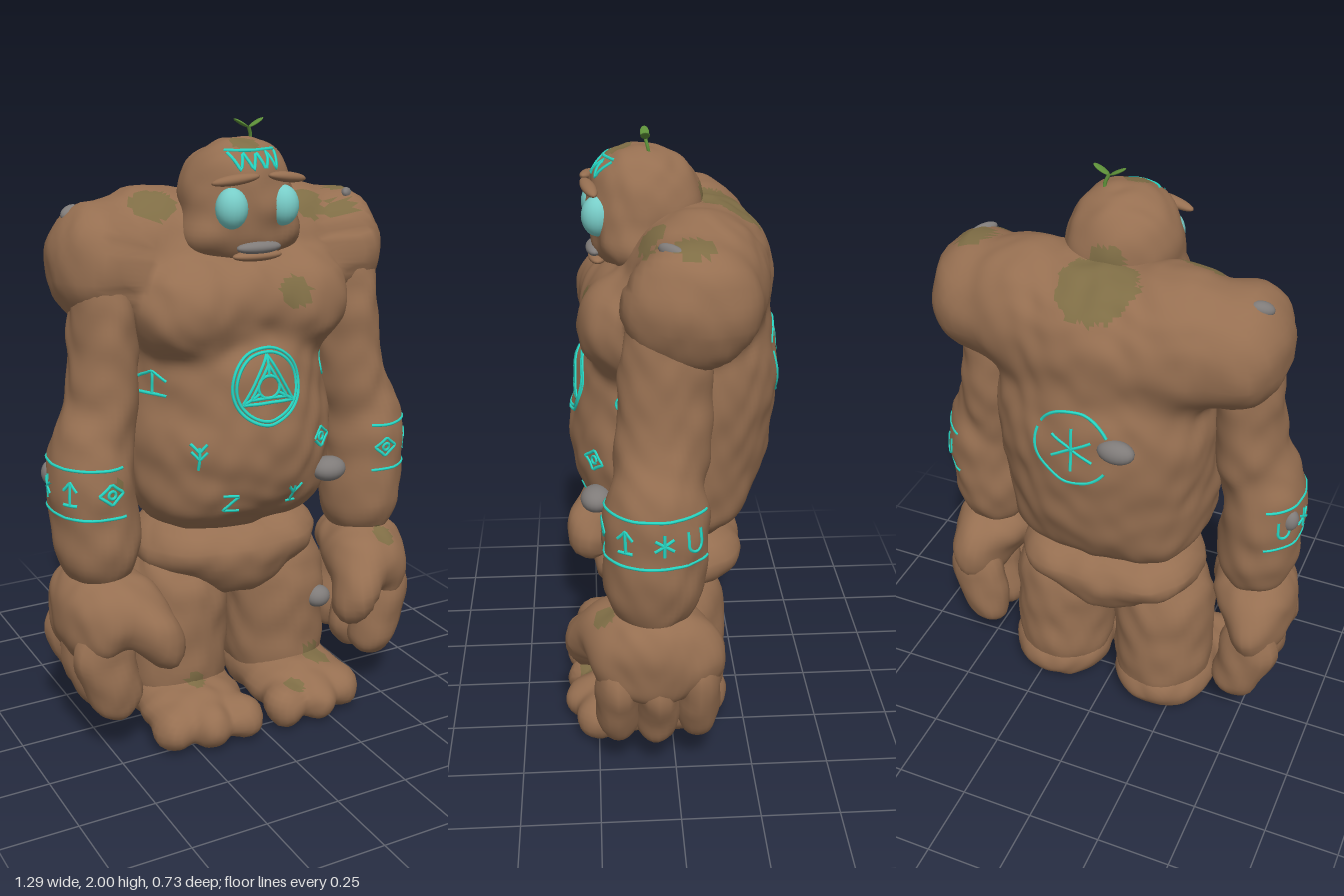
import * as THREE from 'three';
import { mergeVertices } from 'three/addons/utils/BufferGeometryUtils.js';

const paint = (name, color) => Object.assign(new THREE.MeshStandardMaterial({ color }), { name });
const clay = paint('clay', 0x966f51);
const moss = paint('moss', 0x7f6d45);
const glow = paint('rune teal', 0x28dcc8);
const eyeGlow = paint('eye aqua', 0x78cdc8);
const stone = paint('grey stone', 0x7f7b79);
const leafGreen = paint('leaf green', 0x5c8f38);

// Moss patches: x, y, z, radius
const MOSS = [
  [-0.02, 1.76, -0.2, 0.125], [-0.27, 1.78, 0.05, 0.08], [0.28, 1.76, 0.1, 0.08], [0.38, 1.73, 0.1, 0.055],
  [0.45, 1.76, -0.05, 0.065], [0.11, 1.49, 0.28, 0.055], [0.5, 0.59, 0.22, 0.04], [0.26, 0.17, 0.18, 0.05],
  [0.12, 0.13, 0.28, 0.035], [-0.2, 0.18, 0.17, 0.035], [-0.48, 0.93, 0.23, 0.03], [-0.01, 1.94, 0.15, 0.045],
];
const V = (x, y, z) => new THREE.Vector3(x, y, z);
const bumps = ({ x, y, z }) => 0.004 * Math.sin(31 * x + 2 * Math.sin(17 * z)) * Math.sin(28 * y + 2 * Math.sin(19 * x)) +
  0.003 * Math.sin(43 * y + 2 * Math.sin(23 * z)) * Math.sin(39 * z + 2 * Math.sin(21 * x));

// Lumps are [x, y, z, rx, ry, rz, tilt about z]
const flip = (lumps) => lumps.map(([x, y, z, a, b, c, t = 0]) => [-x, y, z, a, b, c, -t]);
const both = (lumps) => [...lumps, ...flip(lumps)];

// Distance to the smoothly blended lumps
function distance(p, lumps, blend) {
  let d = 9;
  for (const [x, y, z, a, b, c, t = 0] of lumps) {
    const cs = Math.cos(t), sn = Math.sin(t), px = p.x - x, py = p.y - y;
    const u = (px * cs + py * sn) / a, v = (py * cs - px * sn) / b, w = (p.z - z) / c;
    const k = Math.hypot(u, v, w);
    const e = k * (k - 1) / (Math.hypot(u / a, v / b, w / c) + 1e-6);
    const h = Math.max(blend - Math.abs(d - e), 0) / blend;
    d = Math.min(d, e) - h * h * blend / 4;
  }
  return d;
}

// Shrink a capsule around the line a-b onto the blended lumps
function mould(name, lumps, a, b, [cap, around, along], blend = 0.04) {
  const dir = b.clone().sub(a), len = dir.length();
  const turn = new THREE.Quaternion().setFromUnitVectors(V(0, 1, 0), dir.normalize());
  const mid = a.clone().add(b).multiplyScalar(0.5);
  let geo = new THREE.CapsuleGeometry(1, len, cap, around, along);
  geo.deleteAttribute('uv');
  geo.deleteAttribute('normal');
  geo = mergeVertices(geo);
  const pos = geo.attributes.position, p = V(), ray = V(), base = V();
  for (let i = 0; i < pos.count; i++) {
    ray.fromBufferAttribute(pos, i);
    base.set(0, THREE.MathUtils.clamp(ray.y, -len / 2, len / 2), 0);
    ray.sub(base).normalize().applyQuaternion(turn);
    base.applyQuaternion(turn).add(mid);
    let t = 1;
    for (let n = 0; n < 70 && t > 0.005; n++) {
      const d = distance(p.copy(base).addScaledVector(ray, t), lumps, blend);
      if (d < 0.0004) break;
      t -= 0.65 * d;
    }
    p.copy(base).addScaledVector(ray, Math.max(t, 0.005));
    p.addScaledVector(ray, bumps(p));
    pos.setXYZ(i, p.x, Math.max(p.y, 0), p.z);
  }
  geo.computeVertexNormals();
  // Sort faces into clay and moss groups
  const faces = [[], []], idx = geo.index;
  for (let i = 0; i < idx.count; i += 3) {
    const f = [idx.getX(i), idx.getX(i + 1), idx.getX(i + 2)];
    p.set(0, 0, 0);
    f.forEach((v) => p.add(base.fromBufferAttribute(pos, v)));
    p.divideScalar(3);
    const ragged = 1 + 25 * bumps(p.clone().multiplyScalar(2));
    const mossy = MOSS.some(([x, y, z, r]) => Math.hypot(p.x - x, p.y - y, p.z - z) < r * ragged);
    faces[mossy ? 1 : 0].push(...f);
  }
  geo.setIndex([...faces[0], ...faces[1]]);
  geo.addGroup(0, faces[0].length, 0);
  geo.addGroup(faces[0].length, faces[1].length, 1);
  const mesh = new THREE.Mesh(geo, [clay, moss]);
  mesh.name = name;
  return mesh;
}

function ball(name, mat, [x, y, z], [a, b, c], [rx, ry, rz] = [0, 0, 0]) {
  const mesh = new THREE.Mesh(new THREE.SphereGeometry(1, 20, 14), mat);
  mesh.name = name;
  mesh.position.set(x, y, z);
  mesh.scale.set(a, b, c);
  mesh.rotation.set(rx, ry, rz);
  return mesh;
}

// Flat strokes used for the carved marks
const arc = (r, from = 0, to = Math.PI * 2, n = 28, cx = 0, cy = 0) => Array.from({ length: n + 1 }, (_, i) => {
  const t = from + (to - from) * i / n;
  return [cx + r * Math.cos(t), cy + r * Math.sin(t)];
});
const spokes = (r) => [0, 1, 2].map((i) => {
  const t = Math.PI / 2 + i * Math.PI / 3, x = r * Math.cos(t), y = r * Math.sin(t);
  return [[x, y], [-x, -y]];
});
const corner = (r, i) => [r * Math.cos(Math.PI / 2 + i * 2.0944), r * Math.sin(Math.PI / 2 + i * 2.0944)];
const triangle = (r) => [0, 1, 2, 3].map((i) => corner(r, i));
const MARK = {
  diamond: [[[-0.04, 0], [0, 0.032], [0.04, 0], [0, -0.032], [-0.04, 0]], arc(0.012, 0, 6.283, 10)],
  arrow: [[[0, -0.035], [0, 0.037]], [[-0.026, 0.01], [0, 0.037], [0.026, 0.01]], [[-0.026, -0.035], [0.026, -0.035]]],
  star: spokes(0.038),
  cup: [[[-0.025, 0.035], ...arc(0.025, Math.PI, 2 * Math.PI, 10, 0, -0.01), [0.025, 0.035]]],
  crescent: [arc(0.033, 0.9, 5.4, 16), [[-0.005, 0], [0.015, 0]]],
  sprig: [[[0, -0.045], [0, 0.03]], [[-0.022, 0.04], [0, 0.015], [0.022, 0.04]], [[-0.022, 0.015], [0, -0.01], [0.022, 0.015]]],
  zigzag: [[[-0.03, 0.03], [0.025, 0.025], [-0.02, -0.025], [0.032, -0.03]]],
  fork: [[[0, -0.035], [0, 0.03]], [[-0.028, 0.03], [0, 0], [0.028, 0.03]], [[-0.018, -0.035], [0.018, -0.035]]],
  seal: [arc(0.118, 0, 6.283, 48), arc(0.106, 0, 6.283, 44), triangle(0.1), triangle(0.07), arc(0.036),
    ...[0, 1, 2].map((i) => [corner(0.036, i), corner(0.1, i)])],
  wheel: [arc(0.125, 0.5, 2.6), arc(0.125, 2.8, 5.7), ...spokes(0.075)],
  crown: [[[-0.08, 0.026], [0.08, 0.026]],
    [[-0.08, 0.02], [-0.06, -0.028], [-0.04, 0.02], [-0.02, -0.028], [0, 0.02], [0.02, -0.028], [0.04, 0.02], [0.06, -0.028], [0.08, 0.02]]],
};

// Lay strokes on a mesh; place(u, v) returns a ray origin and direction
function engrave(name, target, strokes, place, width = 0.0055) {
  const group = new THREE.Group(), caster = new THREE.Raycaster();
  group.name = name;
  for (const line of strokes) {
    const pts = [];
    line.forEach(([u, v], i) => {
      const [u1, v1] = line[i + 1] ?? [u, v];
      const n = i + 1 < line.length ? Math.ceil(Math.hypot(u1 - u, v1 - v) / 0.018) : 1;
      for (let k = 0; k < n; k++) {
        caster.set(...place(u + (u1 - u) * k / n, v + (v1 - v) * k / n));
        const hit = caster.intersectObject(target)[0];
        if (hit) pts.push(hit.point);
      }
    });
    if (pts.length < 2) continue;
    const curve = new THREE.CatmullRomCurve3(pts);
    group.add(new THREE.Mesh(new THREE.TubeGeometry(curve, pts.length * 2, width, 5), glow));
  }
  return group;
}
const fromFront = (x, y) => (u, v) => [V(x + u, y + v, 1), V(0, 0, -1)];
const fromBack = (x, y) => (u, v) => [V(x - u, y + v, -1), V(0, 0, 1)];
const aroundArm = (s, angle, y) => (u, v) => {
  const t = angle + s * u / 0.16, d = V(s * Math.sin(t), 0, Math.cos(t));
  return [V(s * 0.5, y + v, 0.06).add(d), d.negate()];
};

export function createModel() {
  const model = new THREE.Group();
  model.name = 'clayGolem';

  // Torso with chest, shoulders and humped back
  const torso = mould('torso', [
    [0, 1.0, -0.005, 0.36, 0.34, 0.325], [0, 1.22, -0.075, 0.36, 0.42, 0.28], [0, 1.2, 0.03, 0.3, 0.25, 0.268],
    [0, 1.6, -0.01, 0.25, 0.17, 0.18], [0, 1.54, -0.11, 0.34, 0.24, 0.222], [0, 1.45, 0.11, 0.19, 0.16, 0.165],
    ...both([[0.16, 0.855, -0.005, 0.175, 0.165, 0.245], [0.18, 1.435, 0.1, 0.19, 0.175, 0.187],
      [0.23, 1.57, -0.08, 0.245, 0.225, 0.21], [0.432, 1.57, -0.045, 0.14, 0.19, 0.205]]),
  ], V(0, 0.86, 0), V(0, 1.53, -0.03), [34, 120, 50], 0.05);
  model.add(torso);

  // Head, eyes, brows and lips
  const head = mould('head', [
    [0, 1.768, 0.065, 0.178, 0.174, 0.176], [0, 1.735, 0.108, 0.172, 0.12, 0.13], [0, 1.65, 0.095, 0.15, 0.085, 0.14],
    [0, 1.845, 0.115, 0.13, 0.09, 0.115], ...both([[0.122, 1.66, 0.1, 0.078, 0.068, 0.1]]),
  ], V(0, 1.7, 0.07), V(0, 1.78, 0.07), [20, 56, 6]);
  model.add(head);
  for (const s of [-1, 1]) {
    model.add(ball('eye', eyeGlow, [s * 0.088, 1.748, 0.215], [0.05, 0.062, 0.05]));
    model.add(ball('brow', clay, [s * 0.088, 1.835, 0.24], [0.075, 0.016, 0.022], [0, s * 0.22, -s * 0.13]));
  }
  model.add(ball('mouth', stone, [0, 1.627, 0.226], [0.076, 0.02, 0.028]));
  model.add(ball('lowerLip', clay, [0, 1.601, 0.217], [0.085, 0.017, 0.03]));

  // Hips
  model.add(mould('hips', [
    [0, 0.61, -0.01, 0.32, 0.13, 0.235], [0, 0.55, -0.005, 0.21, 0.125, 0.215],
    ...both([[0.16, 0.63, -0.02, 0.15, 0.1, 0.215]]),
  ], V(0, 0.57, 0), V(0, 0.64, 0), [18, 64, 6]));

  for (const s of [-1, 1]) {
    const side = (lumps) => (s > 0 ? lumps : flip(lumps));

    // Leg and three-toed foot
    model.add(mould('leg', side([[0.19, 0.41, 0.0, 0.178, 0.25, 0.182], [0.193, 0.22, -0.005, 0.178, 0.25, 0.182]]),
      V(s * 0.195, 0.13, 0), V(s * 0.195, 0.45, 0), [12, 44, 14]));
    model.add(mould('foot', side([
      [0.2, 0.11, -0.01, 0.182, 0.125, 0.18], [0.2, 0.09, 0.14, 0.178, 0.095, 0.17],
      ...[0.08, 0.2, 0.315].map((x, i) => [x, 0.075, [0.28, 0.285, 0.245][i], 0.069, 0.072, 0.077]),
    ]), V(s * 0.2, 0.08, 0), V(s * 0.2, 0.08, 0.2), [14, 48, 10], 0.03));

    // Arm with heavy forearm
    const arm = mould('arm', side([
      [0.44, 1.32, 0.03, 0.102, 0.34, 0.14], [0.457, 1.14, 0.042, 0.105, 0.2, 0.142],
      [0.505, 0.9, 0.062, 0.135, 0.27, 0.161], [0.492, 0.73, 0.07, 0.136, 0.19, 0.155],
    ]), V(s * 0.445, 1.42, 0.03), V(s * 0.5, 0.68, 0.06), [10, 44, 40]);
    model.add(arm);

    // Hand with thumb, and fingers
    model.add(mould('hand', side([
      [0.53, 0.455, 0.06, 0.11, 0.16, 0.215], [0.492, 0.53, 0.07, 0.132, 0.095, 0.165],
      [0.44, 0.5, 0.17, 0.12, 0.11, 0.13], [0.37, 0.425, 0.265, 0.074, 0.115, 0.09, -0.4],
    ]), V(s * 0.5, 0.44, 0.1), V(s * 0.49, 0.52, 0.1), [18, 56, 6], 0.05));
    [[0.188, 0.285], [0.06, 0.27], [-0.068, 0.29]].forEach(([z, y]) => model.add(mould('finger', side([
      [0.525, y + 0.08, z, 0.105, 0.13, 0.068], [0.5, y - 0.02, z, 0.088, 0.09, 0.064], [0.488, y - 0.08, z, 0.076, 0.075, 0.062],
    ]), V(s * 0.495, y - 0.07, z), V(s * 0.51, y + 0.06, z), [8, 20, 6])));

    // Arm band: two lines with marks between
    const band = arc(1, 0, 1, 40).map((_, i) => [-0.05 + i * 0.0125, 0]);
    for (const y of [0.832, 0.987]) {
      model.add(engrave('armBandLine', arm, [band.map(([u]) => [s * u, 0])], aroundArm(s, 0, y), 0.005));
    }
    [['diamond', 0], ['arrow', 0.84], ['star', 1.68], ['cup', 2.36]].forEach(([mark, t]) =>
      model.add(engrave('armMark', arm, MARK[mark], aroundArm(s, t, 0.912))));
  }

  // Carved marks on body and brow
  [['seal', 0, 1.205], ['arrow', -0.305, 1.21], ['crescent', 0.295, 1.21], ['sprig', -0.22, 1.0], ['diamond', 0.225, 0.998],
    ['zigzag', -0.115, 0.83], ['fork', 0.115, 0.83]].forEach(([mark, x, y]) =>
    model.add(engrave('bodyMark', torso, MARK[mark], fromFront(x, y))));
  model.add(engrave('backWheel', torso, MARK.wheel, fromBack(0, 1.27)));
  model.add(engrave('foreheadMark', head, MARK.crown, fromFront(0, 1.887)));

  // Embedded stones
  [[[0.26, 0.88, 0.24], [0.06, 0.041, 0.05]], [[0.28, 0.385, 0.16], [0.045, 0.038, 0.04]],
    [[-0.14, 1.29, -0.335], [0.06, 0.038, 0.036]], [[-0.485, 1.725, -0.085], [0.038, 0.022, 0.025], [0, 0.5, 0.3]],
    [[0.45, 1.737, 0.01], [0.05, 0.022, 0.018], [0, 0.9, -0.2]], [[-0.61, 0.93, -0.01], [0.03, 0.04, 0.03]],
  ].forEach(([at, size, turn]) => model.add(ball('stone', stone, at, size, turn)));

  // Sprout on the crown
  const stem = new THREE.CatmullRomCurve3([V(0.058, 1.915, 0.055), V(0.06, 1.945, 0.06), V(0.048, 1.975, 0.068)]);
  const stalk = new THREE.Mesh(new THREE.TubeGeometry(stem, 8, 0.006, 6), leafGreen);
  stalk.name = 'stem';
  model.add(stalk);
  for (const s of [-1, 1]) model.add(ball('leaf', leafGreen, [0.048 + s * 0.026, 1.984, 0.068], [0.029, 0.005, 0.014], [0, 0, s * 0.5]));

  return model;
}
